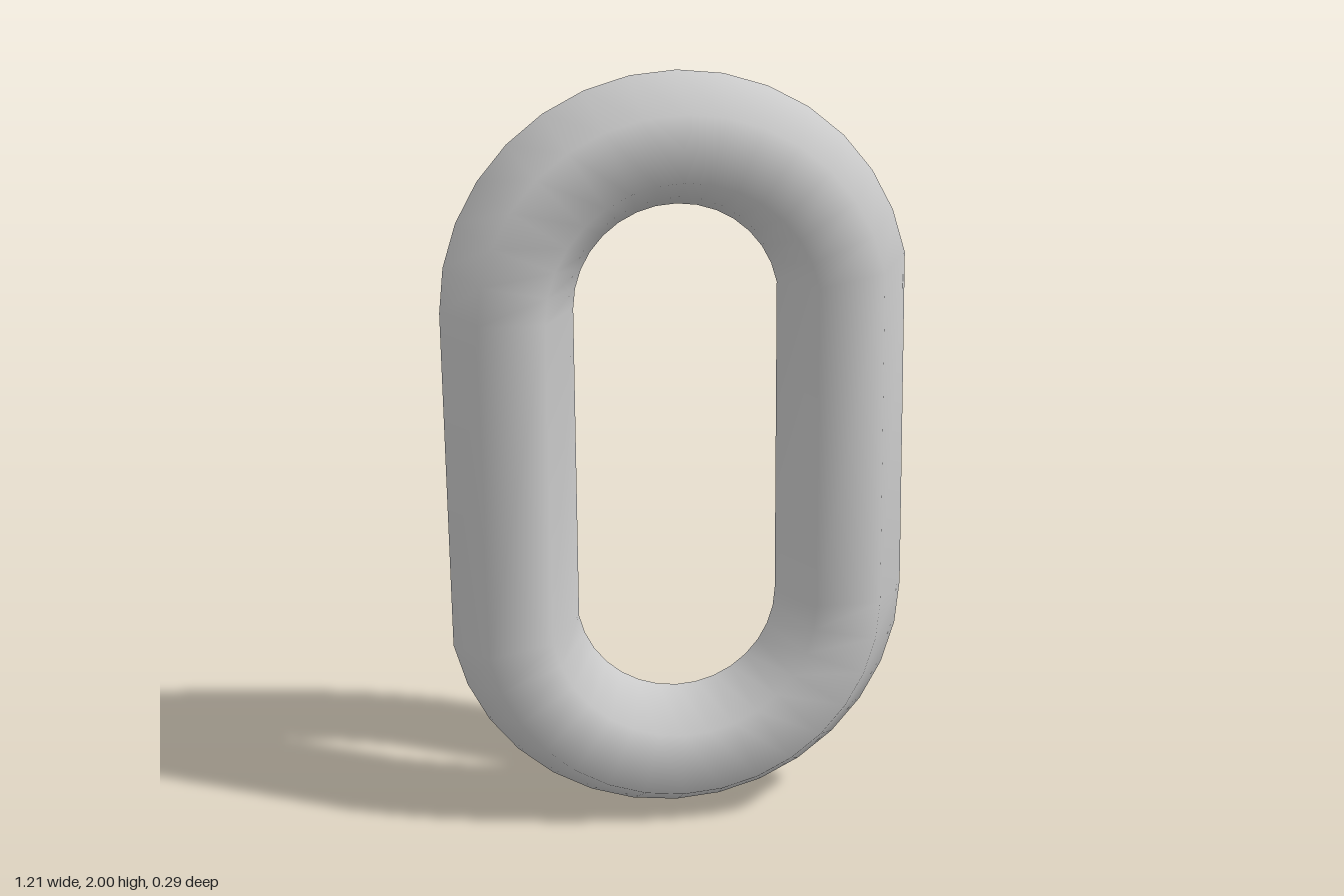
import * as THREE from 'three';

const BEND = 0.435;      // centreline radius of the two bends
const WIRE = 0.17;       // radius of the six-sided wire
const HALF = 0.395;      // distance from middle to each bend centre
const STEPS = 16;        // samples per bend
const SIDES = 6;

// Closed chain link: hexagonal cross-sections swept around two half-circle bends,
// whose ends are joined by the long straight sides.
function linkGeometry() {
  const pos = [], nor = [], idx = [];
  const rings = STEPS * 2;
  for (let i = 0; i < rings; i++) {
    const upper = i < STEPS;
    const a = ((i + 1) / STEPS) * Math.PI;
    const cy = 1 + (upper ? HALF : -HALF);
    const rx = Math.cos(a), ry = Math.sin(a);
    for (let j = 0; j < SIDES; j++) {
      const b = (j / SIDES) * Math.PI * 2;
      const out = Math.cos(b), z = Math.sin(b);
      const d = BEND + WIRE * out;
      pos.push(rx * d, cy + ry * d, WIRE * z);
      nor.push(rx * out, ry * out, z);
      const i2 = (i + 1) % rings, j2 = (j + 1) % SIDES;
      const p = i * SIDES + j, q = i2 * SIDES + j;
      const r = i * SIDES + j2, s = i2 * SIDES + j2;
      idx.push(p, q, r, q, s, r);
    }
  }
  const g = new THREE.BufferGeometry();
  g.setAttribute('position', new THREE.Float32BufferAttribute(pos, 3));
  g.setAttribute('normal', new THREE.Float32BufferAttribute(nor, 3));
  g.setIndex(idx);
  return g;
}

export function createModel() {
  const group = new THREE.Group();
  group.name = 'chainLink';
  const link = new THREE.Mesh(linkGeometry(), new THREE.MeshStandardMaterial({ color: 0xcccccc }));
  link.name = 'link';
  group.add(link);
  return group;
}
